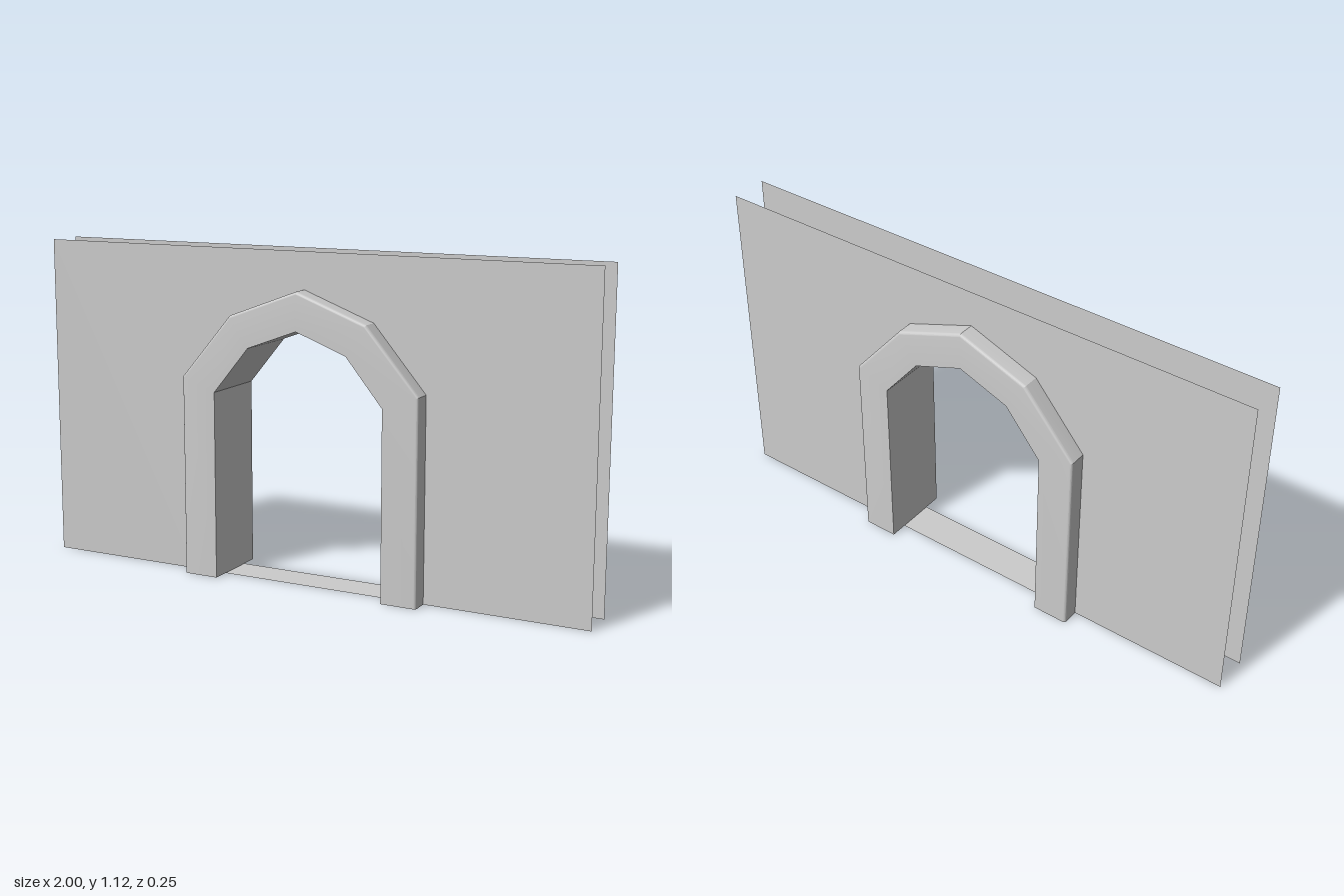
import * as THREE from 'three';
import { toCreasedNormals } from 'three/addons/utils/BufferGeometryUtils.js';

const WALL_Z = 0.064, FACE_Z = 0.125, ROUND = 0.01;

// Mirror half an outline (left foot to apex) into the full arch line
const mirror = (half) => [...half, ...half.slice(0, -1).reverse().map(([x, y]) => [-x, y])];
const outer = mirror([[0.435, 0], [0.435, 0.69], [0.25, 0.907], [0, 1]]);
const inner = mirror([[0.31, 0], [0.31, 0.645], [0.18, 0.803], [0, 0.87]]);

// Trim cross-section as [t, z]: t = 0 on the inner line, 1 on the outer line
function trimProfile() {
  const front = [[1, WALL_Z]];
  for (let k = 0; k <= 6; k++) {
    const a = (k / 6) * Math.PI / 2;
    front.push([1 - (ROUND / 0.125) * (1 - Math.cos(a)), FACE_Z - ROUND * (1 - Math.sin(a))]);
  }
  front.push([0, FACE_Z]);
  return [...front, ...front.slice().reverse().map(([t, z]) => [t, -z])];
}

// Sweep the cross-section along the arch
function trimGeometry() {
  const profile = trimProfile();
  const at = (i, [t, z]) => [
    inner[i][0] + (outer[i][0] - inner[i][0]) * t,
    inner[i][1] + (outer[i][1] - inner[i][1]) * t,
    z,
  ];
  const pos = [];
  for (let i = 0; i < outer.length - 1; i++) {
    for (let j = 0; j < profile.length - 1; j++) {
      const a = at(i, profile[j]), b = at(i + 1, profile[j]);
      const c = at(i + 1, profile[j + 1]), d = at(i, profile[j + 1]);
      pos.push(...a, ...b, ...c, ...a, ...c, ...d);
    }
  }
  const geo = new THREE.BufferGeometry();
  geo.setAttribute('position', new THREE.Float32BufferAttribute(pos, 3));
  return toCreasedNormals(geo, 0.3);
}

export function createModel() {
  const group = new THREE.Group();
  const material = new THREE.MeshStandardMaterial({ color: 0xcccccc, side: THREE.DoubleSide });
  const add = (name, geo) => {
    const mesh = new THREE.Mesh(geo, material);
    mesh.name = name;
    group.add(mesh);
    return mesh;
  };

  // Thin wall sheets, cut out along the outer edge of the trim
  const outline = [[-1, 0], [-1, 1.125], [1, 1.125], [1, 0], ...outer];
  const wall = new THREE.ShapeGeometry(new THREE.Shape(outline.map(([x, y]) => new THREE.Vector2(x, y))));
  add('frontWall', wall).position.z = WALL_Z;
  const back = add('backWall', wall);
  back.rotation.y = Math.PI;
  back.position.z = -WALL_Z;

  // Raised trim on both sides with the passage lining between
  add('archTrim', trimGeometry());

  // Floor strip across the opening
  add('threshold', new THREE.PlaneGeometry(0.62, 2 * WALL_Z).rotateX(-Math.PI / 2));

  return group;
}
